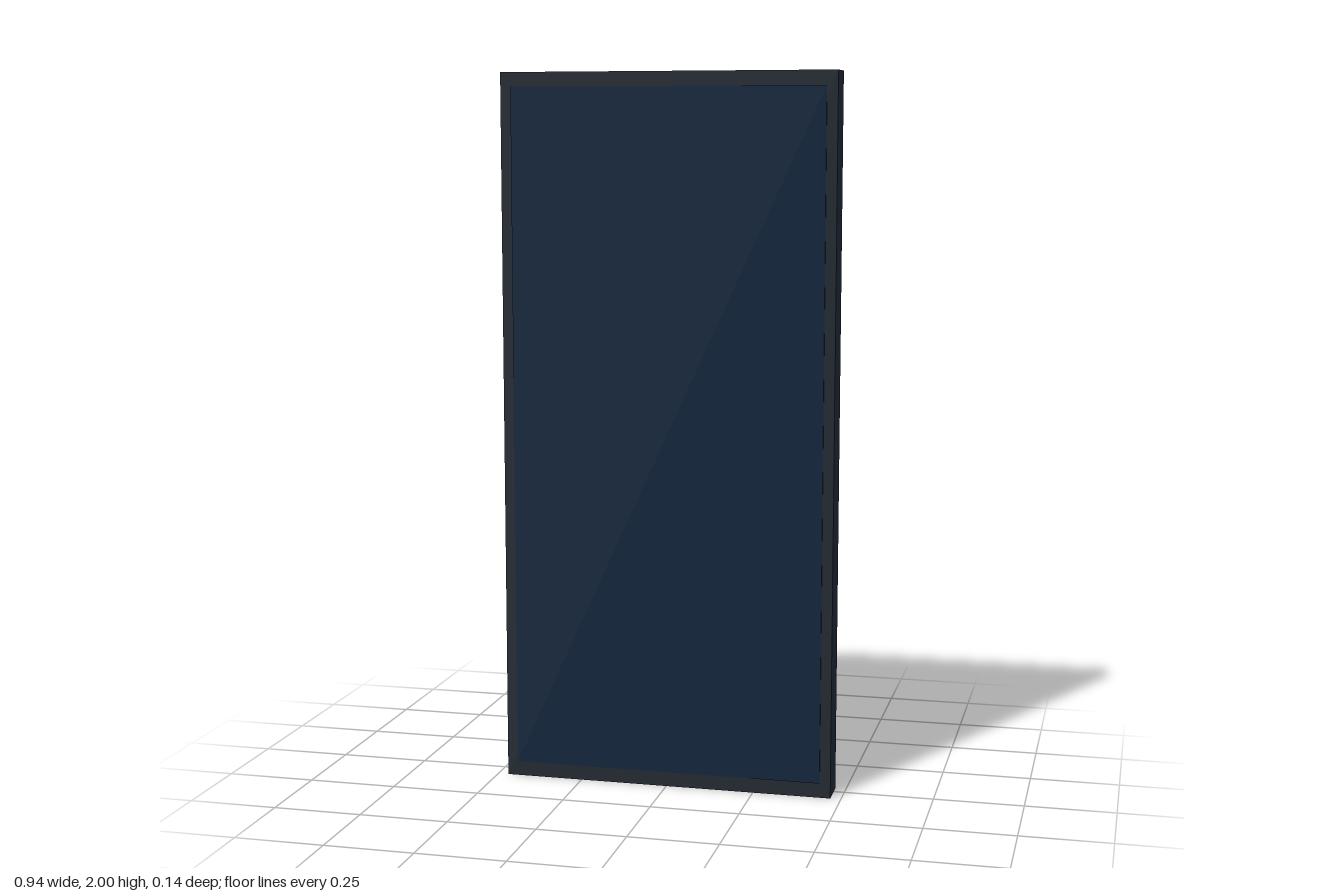
import * as THREE from 'three';

const material = (name, color) => {
  const m = new THREE.MeshStandardMaterial({ color });
  m.name = name;
  return m;
};

export function createModel() {
  const phone = new THREE.Group();
  phone.name = 'phone';
  const slate = material('slate casing', 0x1f2937);
  const charcoal = material('charcoal bezel', 0x20262f);
  const navy = material('navy screen', 0x0c223a);
  const blue = material('blue lens glass', 0x0b74b0);

  // Box given by its limits on each axis
  function box(name, mat, x0, x1, y0, y1, z0, z1) {
    const mesh = new THREE.Mesh(new THREE.BoxGeometry(x1 - x0, y1 - y0, z1 - z0), mat);
    mesh.position.set((x0 + x1) / 2, (y0 + y1) / 2, (z0 + z1) / 2);
    mesh.name = name;
    phone.add(mesh);
  }

  // Disc facing backwards, from z0 (front) to z1 (back)
  function disc(name, mat, radius, sides, x, y, z0, z1) {
    const geo = new THREE.CylinderGeometry(radius, radius, z0 - z1, sides);
    geo.rotateX(-Math.PI / 2);
    const mesh = new THREE.Mesh(geo, mat);
    mesh.position.set(x, y, (z0 + z1) / 2);
    mesh.name = name;
    phone.add(mesh);
  }

  // Casing, with the front face as the bezel
  box('casing', [slate, slate, slate, slate, charcoal, slate], -0.47, 0.47, 0, 2, -0.028, 0.063);
  box('screen', navy, -0.44, 0.44, 0.042, 1.96, 0.06, 0.067);

  // Camera plate, lenses and flash on the back
  box('cameraPlate', slate, -0.398, -0.075, 1.24, 1.885, -0.053, -0.027);
  [1.738, 1.562, 1.386].forEach((y, i) =>
    disc('cameraLens' + (i + 1), blue, 0.07, 32, -0.236, y, -0.052, -0.07));
  disc('flash', blue, 0.023, 12, -0.118, 1.645, -0.052, -0.058);

  return phone;
}
